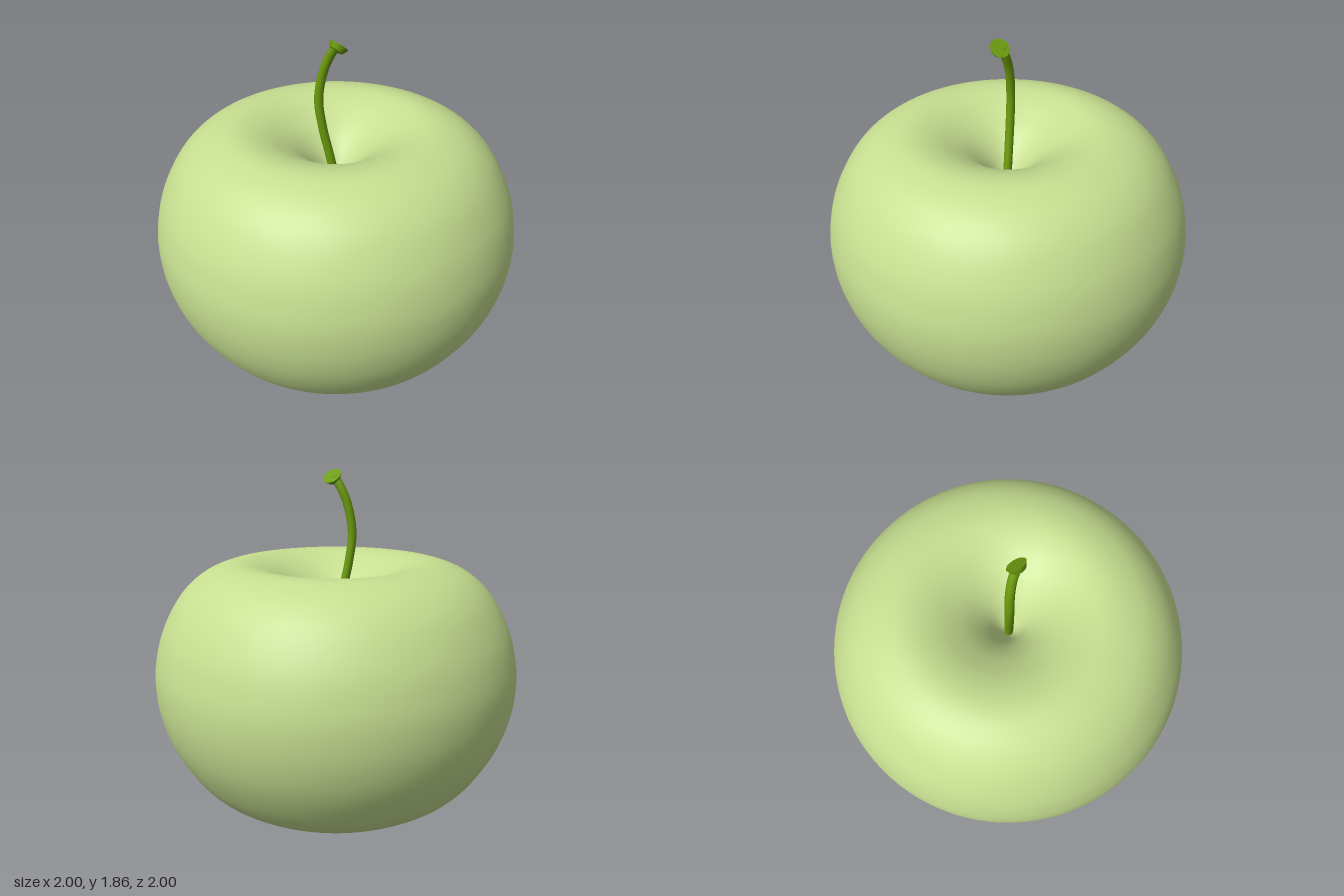
import * as THREE from 'three';

const skin = new THREE.MeshStandardMaterial({ color: 0xc6de90 });
skin.name = 'paleGreenSkin';
const bark = new THREE.MeshStandardMaterial({ color: 0x6b9a0c });
bark.name = 'stemGreen';

function addMesh(group, name, geometry, material) {
  const mesh = new THREE.Mesh(geometry, material);
  mesh.name = name;
  group.add(mesh);
  return mesh;
}

export function createModel() {
  const group = new THREE.Group();
  group.name = 'apple';

  // Body: one profile [radius, height] from the bottom dimple to the stem hollow
  const profile = [
    [0, 0.1], [0.08, 0.083], [0.2, 0.035], [0.38, 0.002], [0.52, 0.03],
    [0.67, 0.1], [0.8, 0.21], [0.92, 0.4], [0.982, 0.58], [1, 0.75],
    [0.985, 0.89], [0.94, 1.04], [0.85, 1.2], [0.74, 1.305], [0.62, 1.36],
    [0.51, 1.375], [0.4, 1.352], [0.3, 1.305], [0.21, 1.245], [0.12, 1.155],
    [0.05, 1.05], [0, 0.97],
  ].map(([r, y]) => new THREE.Vector2(r, y));
  const outline = new THREE.SplineCurve(profile).getPoints(96);
  outline.forEach((p) => { p.x = Math.max(p.x, 0); p.y = Math.max(p.y, 0); });
  outline[0].x = outline[outline.length - 1].x = 0;
  addMesh(group, 'body', new THREE.LatheGeometry(outline, 96), skin);

  // Stem: bowed to the right, its tip leaning forward
  const path = new THREE.CatmullRomCurve3([
    [0.01, 0.98, 0.005], [-0.03, 1.18, 0.005], [-0.072, 1.37, 0.005], [-0.09, 1.53, 0.005],
    [-0.065, 1.68, 0.008], [-0.03, 1.77, 0.02], [0, 1.825, 0.038],
  ].map((p) => new THREE.Vector3(...p)));
  addMesh(group, 'stem', new THREE.TubeGeometry(path, 40, 0.024, 12), bark);

  // Flared cap on the stem tip
  const cap = addMesh(group, 'stemCap', new THREE.CylinderGeometry(0.053, 0.036, 0.03, 16), bark);
  cap.position.set(0.008, 1.82, 0.044);
  cap.quaternion.setFromUnitVectors(
    new THREE.Vector3(0, 1, 0), new THREE.Vector3(0.5, 0.75, -0.45).normalize());

  return group;
}
